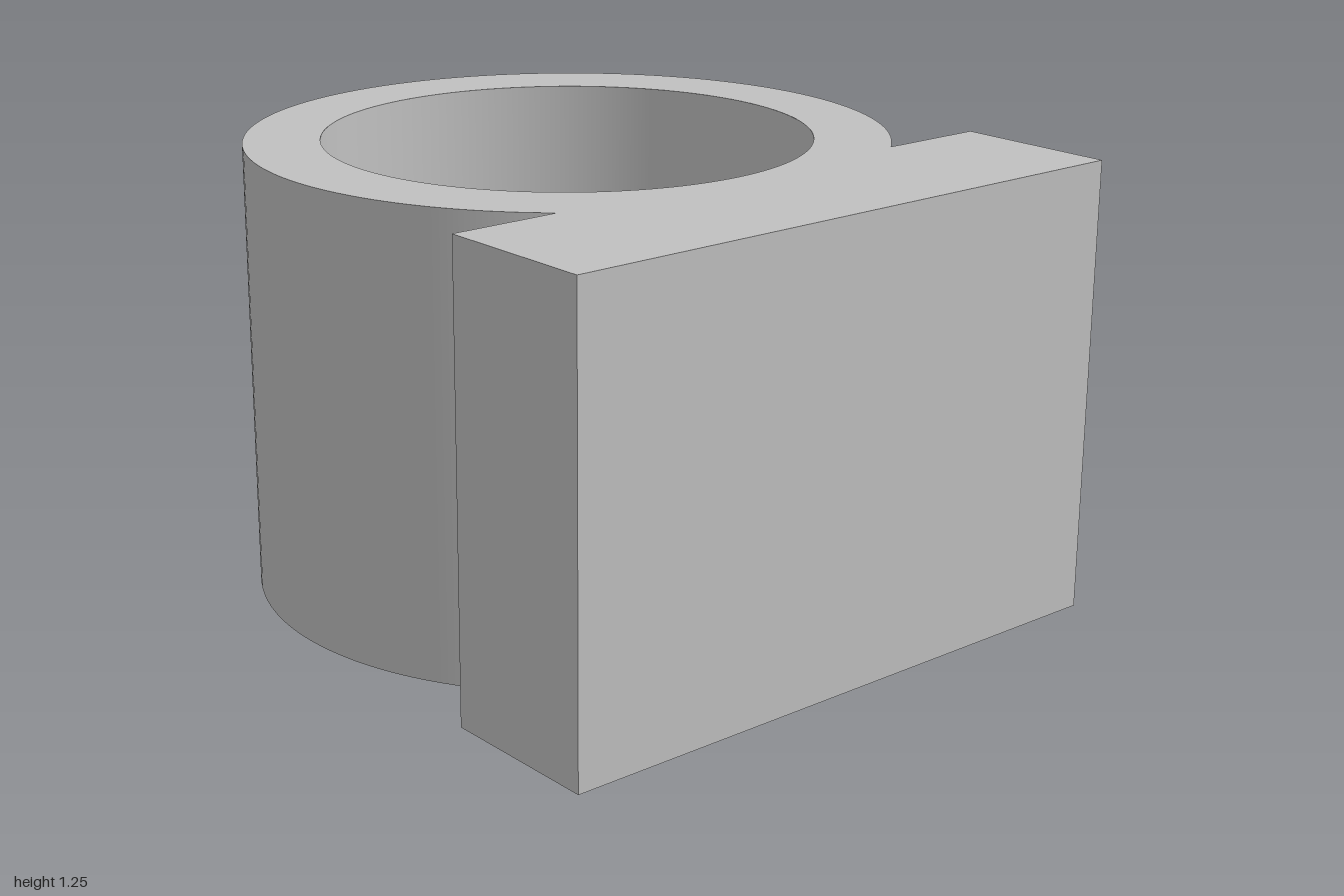
import * as THREE from 'three';

const H = 1.25, R = 0.875, BORE = 0.667, CX = -0.125; // cup height, radii, axis
const FLOOR = 0.21;                                   // thickness of the cup bottom
const PX = CX + BORE, HALF = 0.875;                   // plate inner face and half length
const A = Math.acos(BORE / R);                        // half angle where plate cuts the cup
const ZC = R * Math.sin(A);

export function createModel() {
  const group = new THREE.Group();
  const grey = new THREE.MeshStandardMaterial({ color: 0xc0c0c0 });
  grey.name = 'plain grey';

  const add = (name, geometry, x = 0, y = 0, z = 0) => {
    const mesh = new THREE.Mesh(geometry, grey);
    mesh.name = name;
    mesh.position.set(x, y, z);
    group.add(mesh);
  };

  // Plan outline: round cup merged with the flat mounting plate
  const outline = () => {
    const s = new THREE.Shape();
    s.absarc(CX, 0, R, A, 2 * Math.PI - A, false);
    s.lineTo(PX, -HALF);
    s.lineTo(1, -HALF);
    s.lineTo(1, HALF);
    s.lineTo(PX, HALF);
    s.closePath();
    return s;
  };

  // Top rim with the bore opening, and the closed underside
  const rim = outline();
  rim.holes.push(new THREE.Path().absarc(CX, 0, BORE, 0, 2 * Math.PI, true));
  add('topRim', new THREE.ShapeGeometry(rim, 96).rotateX(-Math.PI / 2), 0, H);
  add('underside', new THREE.ShapeGeometry(outline(), 96).rotateX(Math.PI / 2));

  // Smooth walls: outward when listed upward, inward when listed downward
  const wall = (r, y0, y1, start, length) => new THREE.LatheGeometry(
    [new THREE.Vector2(r, y0), new THREE.Vector2(r, y1)], 96, start, length);
  add('cupOuterWall', wall(R, 0, H, Math.PI / 2 + A, 2 * Math.PI - 2 * A), CX);
  add('boreWall', wall(BORE, H, FLOOR, 0, 2 * Math.PI), CX);
  add('boreFloor', new THREE.CircleGeometry(BORE, 96).rotateX(-Math.PI / 2), CX, FLOOR);

  // Flat sides of the mounting plate
  const path = [[PX, ZC], [PX, HALF], [1, HALF], [1, -HALF], [PX, -HALF], [PX, -ZC]];
  for (let i = 0; i < path.length - 1; i++) {
    const [x0, z0] = path[i], [x1, z1] = path[i + 1];
    const side = new THREE.PlaneGeometry(Math.hypot(x1 - x0, z1 - z0), H);
    side.rotateY(Math.atan2(z0 - z1, x1 - x0));
    add('plateSide' + (i + 1), side, (x0 + x1) / 2, H / 2, (z0 + z1) / 2);
  }
  return group;
}
